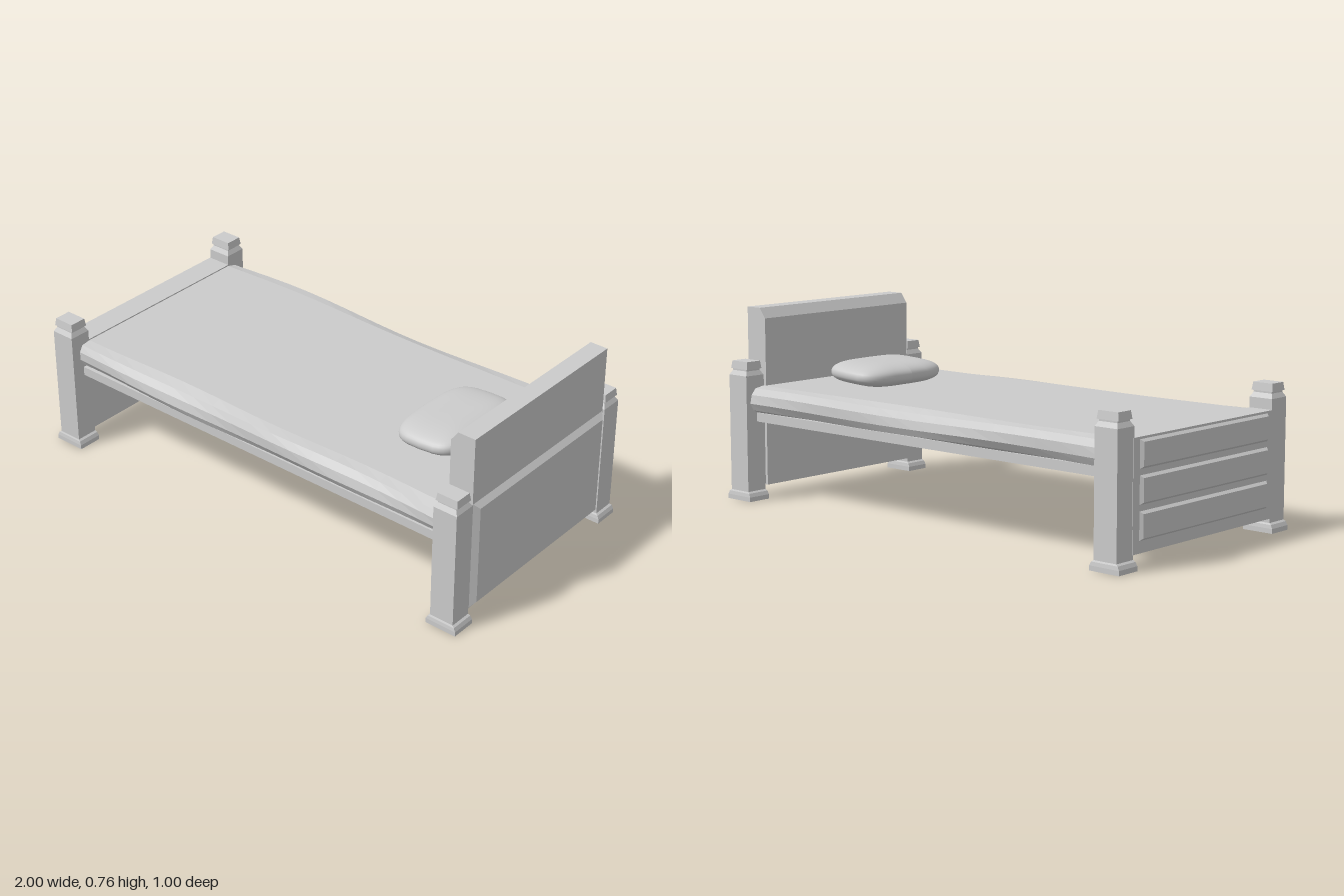
import * as THREE from 'three';

const flat = new THREE.MeshStandardMaterial({ color: 0xcccccc, flatShading: true });
const smooth = new THREE.MeshStandardMaterial({ color: 0xcccccc });

function add(parent, name, geometry, x = 0, y = 0, z = 0, material = flat) {
  const mesh = new THREE.Mesh(geometry, material);
  mesh.name = name;
  mesh.position.set(x, y, z);
  parent.add(mesh);
  return mesh;
}

// Rectangular loft: each row is [half width x, half depth z, height y]
function rectLoft(rows) {
  const n = rows.length - 1;
  const g = new THREE.BoxGeometry(2, 1, 2, 1, n, 1);
  const p = g.attributes.position;
  for (let i = 0; i < p.count; i++) {
    const [hx, hz, y] = rows[Math.round((p.getY(i) + 0.5) * n)];
    p.setXYZ(i, p.getX(i) * hx, y, p.getZ(i) * hz);
  }
  g.computeVertexNormals();
  return g;
}

// Bevelled panel facing +x, standing on a wall plane
function raisedPanel(height, width, depth, bevel) {
  const g = rectLoft([
    [height / 2, width / 2, 0],
    [height / 2 - bevel, width / 2 - bevel, depth],
  ]);
  return g.rotateZ(-Math.PI / 2);
}

// Mattress: rounded cross-section swept along x with uneven sides
function mattressGeometry() {
  const half = [[0.42, 0.35], [0.445, 0.357], [0.462, 0.385], [0.458, 0.42], [0.44, 0.445], [0.4, 0.455]];
  const ring = [...half.map(([z, y]) => [z, y]), ...half.map(([z, y]) => [-z, y]).reverse()];
  const n = ring.length, steps = 18, pos = [], idx = [];
  for (let i = 0; i <= steps; i++) {
    const x = -0.9 + (1.8 * i) / steps;
    for (const [z, y] of ring) {
      const side = Math.sign(z);
      const wave = side > 0
        ? 0.005 * Math.sin(x * 7 + y * 30) - 0.003
        : 0.007 * Math.cos((x + 0.45) * 4) + 0.004 * Math.sin(x * 6 + y * 25) + 0.006;
      const sag = Math.abs(z) > 0.41 && y > 0.352 ? 0.005 * Math.sin(x * 5 + side + y * 12) : 0;
      pos.push(x, Math.min(y + sag, 0.455), z + side * wave);
    }
  }
  for (let i = 0; i < steps; i++) {
    for (let j = 0; j < n; j++) {
      const a = i * n + j, b = i * n + ((j + 1) % n);
      idx.push(a, a + n, b, b, a + n, b + n);
    }
  }
  // End caps
  const last = steps * n;
  for (let j = 1; j < n - 1; j++) {
    idx.push(0, j, j + 1, last, last + j + 1, last + j);
  }
  const g = new THREE.BufferGeometry();
  g.setAttribute('position', new THREE.Float32BufferAttribute(pos, 3));
  g.setIndex(idx);
  g.computeVertexNormals();
  return g;
}

// Pillow: sphere squared off in plan, flatter underneath
function pillowGeometry() {
  const g = new THREE.SphereGeometry(1, 40, 24);
  const p = g.attributes.position;
  const pow = (v, e) => Math.sign(v) * Math.pow(Math.abs(v), e);
  for (let i = 0; i < p.count; i++) {
    const x = p.getX(i), y = p.getY(i), z = p.getZ(i);
    const r = Math.hypot(x, z);
    const s = r > 1e-6 ? Math.pow(r, 0.6) : 0;
    const c = r > 1e-6 ? x / r : 0, d = r > 1e-6 ? z / r : 0;
    const px = s * pow(c, 0.45), pz = s * pow(d, 0.45);
    p.setXYZ(i,
      px * 0.15 * (1 - 0.08 * pz * pz),
      pow(y, 0.85) * 0.046 + 0.008 * px,
      pz * 0.222 * (1 - 0.06 * px * px));
  }
  g.computeVertexNormals();
  return g;
}

export function createModel() {
  const bed = new THREE.Group();
  bed.name = 'bed';

  // Corner posts with plinth, neck and cap
  const postGeometry = rectLoft([
    [0.065, 0.05, 0], [0.065, 0.05, 0.018], [0.058, 0.048, 0.032], [0.05, 0.045, 0.038],
    [0.05, 0.045, 0.5], [0.04, 0.034, 0.518], [0.04, 0.034, 0.525],
    [0.047, 0.038, 0.525], [0.043, 0.034, 0.555],
  ]);
  for (const x of [-0.935, 0.935]) {
    for (const z of [-0.449, 0.449]) add(bed, 'cornerPost', postGeometry, x, 0, z);
  }

  // Headboard with a chamfered inner top edge
  const head = new THREE.Group();
  head.name = 'headboard';
  bed.add(head);
  const profile = new THREE.Shape([
    [0.878, 0.055], [0.98, 0.055], [0.98, 0.762], [0.908, 0.762], [0.878, 0.722],
  ].map(([x, y]) => new THREE.Vector2(x, y)));
  const board = new THREE.ExtrudeGeometry(profile, { depth: 0.794, bevelEnabled: false });
  add(head, 'headboardBoard', board, 0, 0, -0.397);
  add(head, 'headboardCore', new THREE.BoxGeometry(0.08, 0.42, 0.84), 0.93, 0.27, 0);
  add(head, 'headboardOuterPanel', raisedPanel(0.445, 0.794, 0.02, 0.023), 0.978, 0.2775, 0);

  // Footboard with three raised panels on the outside
  const foot = new THREE.Group();
  foot.name = 'footboard';
  bed.add(foot);
  add(foot, 'footboardBoard', new THREE.BoxGeometry(0.102, 0.405, 0.82), -0.936, 0.2575, 0);
  for (const y of [0.15, 0.275, 0.4]) {
    const panel = add(foot, 'footboardPanel', raisedPanel(0.105, 0.75, 0.012, 0.01), -0.986, y, 0);
    panel.rotation.y = Math.PI;
  }

  // Lengthwise slats under the mattress
  const slatCount = 11;
  const slat = new THREE.BoxGeometry(1.78, 0.036, 0.042);
  for (let i = 0; i < slatCount; i++) {
    add(bed, 'slat', slat, 0, 0.333, -0.42 + (0.84 * i) / (slatCount - 1));
  }

  add(bed, 'mattress', mattressGeometry());
  add(bed, 'pillow', pillowGeometry(), 0.61, 0.499, 0.004, smooth);
  return bed;
}
